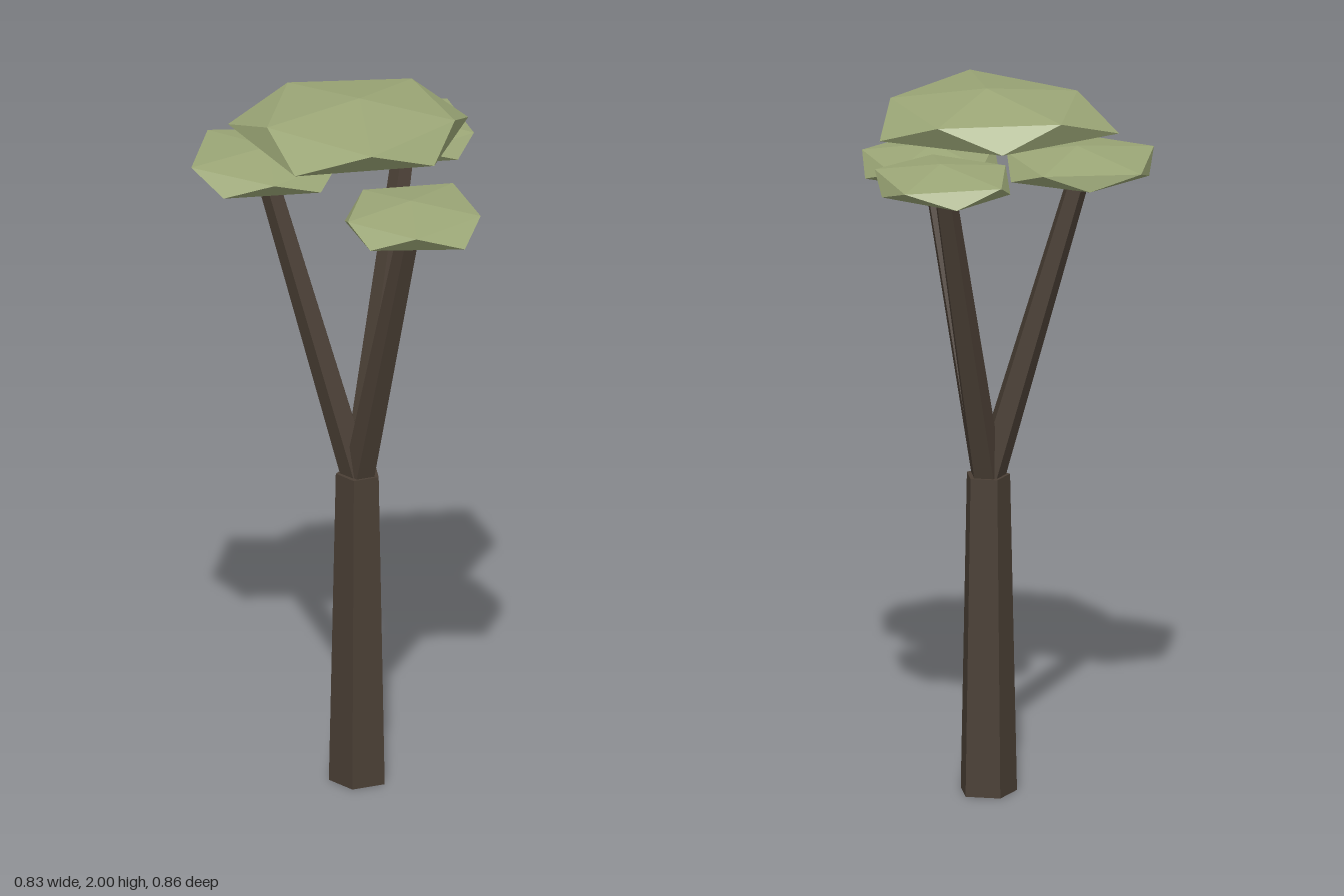
import * as THREE from 'three';

const bark = new THREE.MeshStandardMaterial({ color: 0x4a3f35, flatShading: true });
bark.name = 'bark';
const leaf = new THREE.MeshStandardMaterial({ color: 0x9ca777, flatShading: true });
leaf.name = 'leaf';

// Flattened 20-sided clump: two five-point rings [x, z] between a top and a bottom tip
function foliage(name, [cx, cy, cz], half, upper, lower) {
  const ringY = half * 0.447;
  const pos = [cx, cy + half, cz];
  upper.forEach(([x, z]) => pos.push(x, cy + ringY, z));
  lower.forEach(([x, z]) => pos.push(x, cy - ringY, z));
  pos.push(cx, cy - half, cz);
  const index = [];
  for (let i = 0; i < 5; i++) {
    const j = (i + 1) % 5;
    const u = 1 + i, un = 1 + j, l = 6 + i, ln = 6 + j;
    index.push(0, un, u, u, un, l, un, ln, l, l, ln, 11);
  }
  const geo = new THREE.BufferGeometry();
  geo.setAttribute('position', new THREE.Float32BufferAttribute(pos, 3));
  geo.setIndex(index);
  const flat = geo.toNonIndexed();
  flat.computeVertexNormals();
  const mesh = new THREE.Mesh(flat, leaf);
  mesh.name = name;
  return mesh;
}

// Tapered five-sided limb between two points
function limb(name, from, to, r0, r1) {
  const a = new THREE.Vector3(...from), b = new THREE.Vector3(...to);
  const dir = b.clone().sub(a);
  const mesh = new THREE.Mesh(new THREE.CylinderGeometry(r1, r0, dir.length(), 5), bark);
  mesh.position.copy(a).add(b).multiplyScalar(0.5);
  mesh.quaternion.setFromUnitVectors(new THREE.Vector3(0, 1, 0), dir.normalize());
  mesh.name = name;
  return mesh;
}

export function createModel() {
  const tree = new THREE.Group();
  tree.name = 'tree';

  // Trunk and three spreading branches
  tree.add(limb('trunk', [0.037, 0, 0.048], [0.037, 0.9, 0.048], 0.082, 0.063));
  const fork = [0.037, 0.88, 0.048];
  tree.add(limb('leftBranch', fork, [-0.21, 1.74, 0.06], 0.045, 0.032));
  tree.add(limb('backBranch', fork, [0.11, 1.76, -0.2], 0.045, 0.032));
  tree.add(limb('rightBranch', fork, [0.215, 1.69, 0.22], 0.045, 0.032));

  // Large crown clump
  tree.add(foliage('crownFoliage', [0.038, 1.925, 0.043], 0.075,
    [[0.305, 0.045], [0.14, 0.355], [-0.185, 0.205], [-0.2, -0.13], [0.125, -0.23]],
    [[0.285, 0.22], [-0.07, 0.375], [-0.33, 0.04], [-0.055, -0.23], [0.3, -0.15]]));

  // Smaller clumps at the branch tips
  tree.add(foliage('leftFoliage', [-0.21, 1.793, 0.06], 0.052,
    [[-0.015, 0.06], [-0.15, 0.275], [-0.4, 0.19], [-0.415, -0.09], [-0.155, -0.16]],
    [[-0.04, 0.18], [-0.29, 0.28], [-0.41, 0.06], [-0.28, -0.13], [-0.05, -0.07]]));
  tree.add(foliage('backFoliage', [0.12, 1.803, -0.215], 0.052,
    [[0.305, -0.2], [0.175, -0.03], [-0.04, -0.1], [-0.07, -0.33], [0.18, -0.43]],
    [[0.28, -0.11], [0.06, -0.02], [-0.075, -0.22], [0.04, -0.405], [0.265, -0.31]]));
  tree.add(foliage('rightFoliage', [0.22, 1.732, 0.22], 0.052,
    [[0.415, 0.22], [0.28, 0.425], [0.07, 0.34], [0.06, 0.1], [0.29, 0]],
    [[0.4, 0.355], [0.15, 0.42], [0.035, 0.22], [0.16, 0.03], [0.385, 0.1]]));

  return tree;
}
